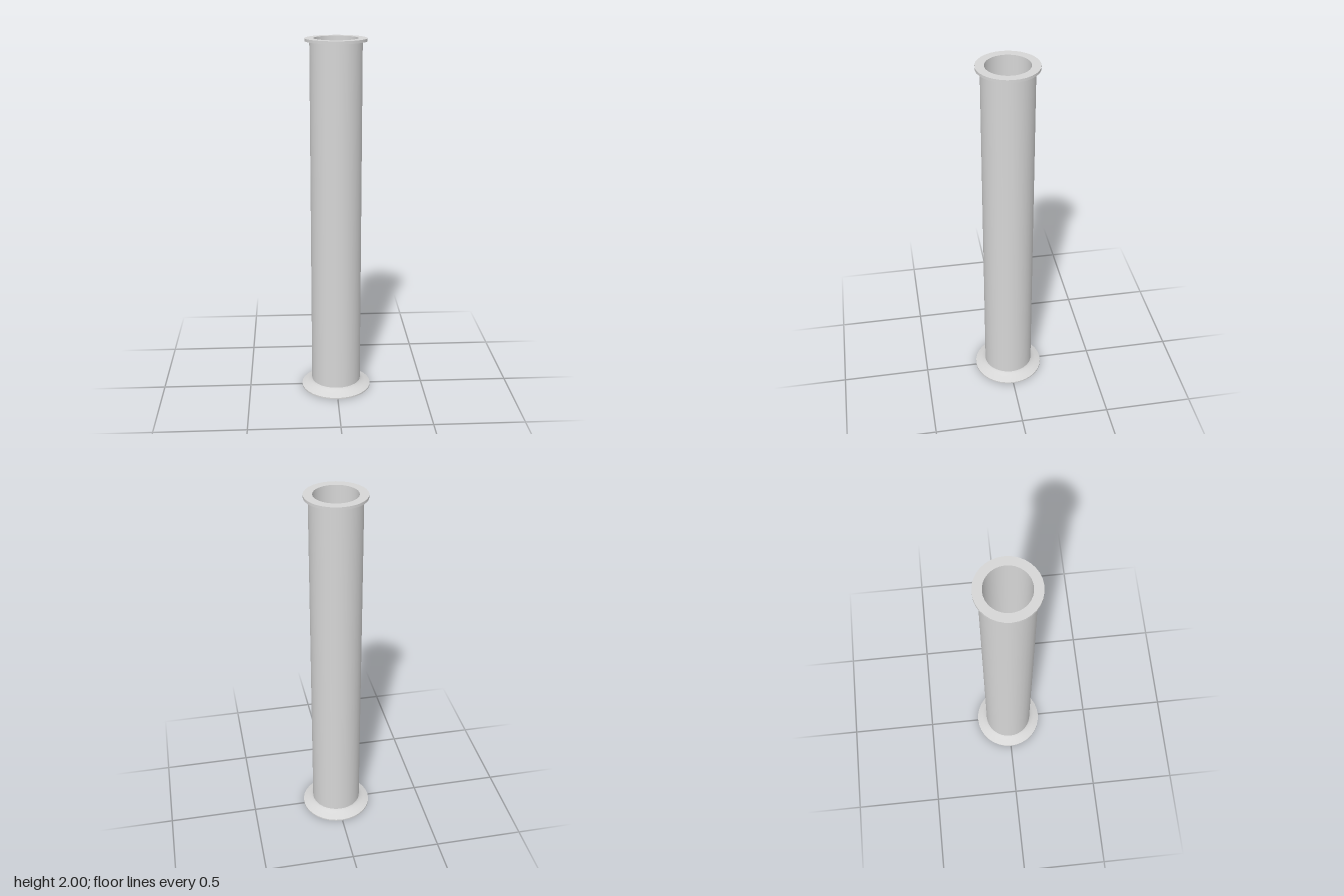
import * as THREE from 'three';

const SIDES = 32;

export function createModel() {
  const model = new THREE.Group();
  model.name = 'flangedTube';

  const metal = new THREE.MeshStandardMaterial({ color: 0xd6d6d6 });
  metal.name = 'light grey';

  // Each profile is a list of [radius, height]; separate profiles keep hard edges
  const turn = (name, ...profiles) => {
    const part = new THREE.Group();
    part.name = name;
    profiles.forEach((profile, i) => {
      const points = profile.map(([r, y]) => new THREE.Vector2(r, y));
      const mesh = new THREE.Mesh(new THREE.LatheGeometry(points, SIDES), metal);
      mesh.name = `${name}Surface${i + 1}`;
      part.add(mesh);
    });
    model.add(part);
  };

  // Flared foot with a closed underside
  turn('foot',
    [[0, 0], [0.198, 0]],
    [[0.198, 0], [0.198, 0.008]],
    [[0.198, 0.008], [0.168, 0.02], [0.148, 0.031], [0.14, 0.042]]);

  // Straight outer wall
  turn('outerWall', [[0.14, 0.035], [0.14, 1.986]]);

  // Flat flange around the mouth
  turn('topFlange',
    [[0.14, 1.985], [0.165, 1.985]],
    [[0.165, 1.985], [0.165, 2]],
    [[0.165, 2], [0.118, 2]]);

  // Hollow bore and its floor
  turn('bore',
    [[0.118, 2], [0.118, 0.02]],
    [[0.118, 0.02], [0, 0.02]]);

  return model;
}
